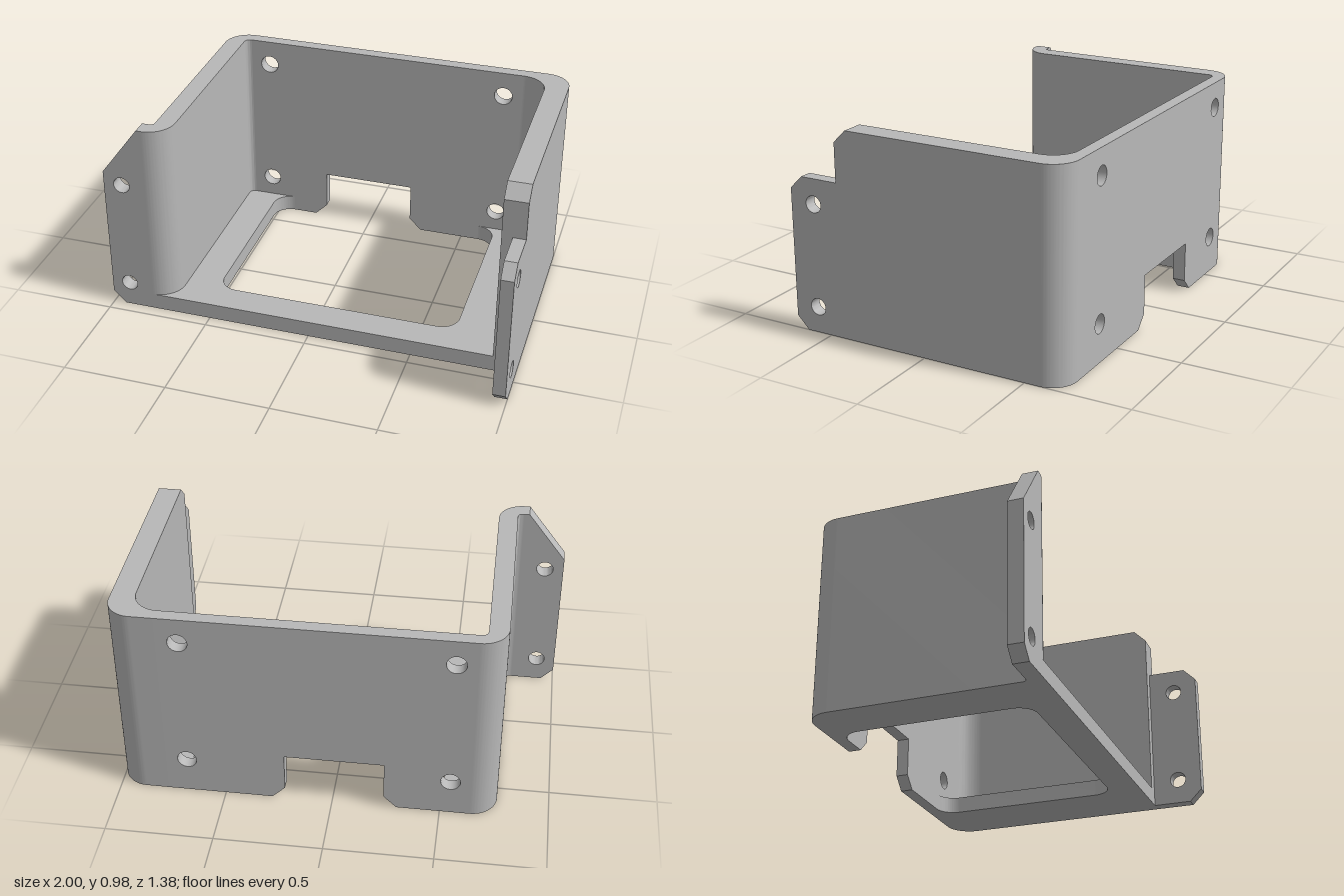
import * as THREE from 'three';
import { toCreasedNormals } from 'three/addons/utils/BufferGeometryUtils.js';

const P = Math.PI;
const H = 0.98; // wall height

export function createModel() {
  const model = new THREE.Group();
  model.name = 'mountingBracket';
  const metal = new THREE.MeshStandardMaterial({ color: 0xb8b8b8 });
  metal.name = 'grey metal';

  const extrude = (shape, depth) =>
    new THREE.ExtrudeGeometry(shape, { depth, bevelEnabled: false, curveSegments: 16 });

  const add = (name, geometry) => {
    const mesh = new THREE.Mesh(toCreasedNormals(geometry, 0.5), metal);
    mesh.name = name;
    model.add(mesh);
  };

  // Polygon with round holes given as [x, y, radius]
  const plate = (points, holes = []) => {
    const shape = new THREE.Shape(points.map(([x, y]) => new THREE.Vector2(x, y)));
    for (const [x, y, r] of holes) {
      shape.holes.push(new THREE.Path().absarc(x, y, r, 0, 2 * P, true));
    }
    return shape;
  };

  // Panel facing z, drawn in (x, y)
  const frontPanel = (name, shape, depth, z) => add(name, extrude(shape, depth).translate(0, 0, z));
  // Panel facing x, drawn in (-z, y)
  const sidePanel = (name, shape, depth, x) =>
    add(name, extrude(shape, depth).rotateY(P / 2).translate(x, 0, 0));
  // Upright part drawn in plan (x, -z)
  const upright = (name, shape, height) => add(name, extrude(shape, height).rotateX(-P / 2));

  // Back wall with screw holes and a bottom notch with chamfered mouth
  const backHoles = [];
  for (const x of [-0.545, 0.675]) for (const y of [0.185, 0.855]) backHoles.push([x, y, 0.045]);
  frontPanel('backWall', plate([
    [-0.64, 0], [-0.3, 0], [-0.24, 0.06], [-0.24, 0.25], [0.22, 0.25],
    [0.22, 0.06], [0.28, 0], [0.77, 0], [0.77, H], [-0.64, H],
  ], backHoles), 0.06, -0.69);

  // Side wall at -x with its back corner and outward front bend
  const bent = new THREE.Shape();
  bent.moveTo(-0.64, 0.69);
  bent.absarc(-0.64, 0.57, 0.12, P / 2, P, false);
  bent.absarc(-0.78, -0.345, 0.02, 0, -P / 2, true);
  bent.lineTo(-0.79, -0.365);
  bent.lineTo(-0.79, -0.44);
  bent.absarc(-0.79, -0.32, 0.12, -P / 2, 0, false);
  bent.absarc(-0.64, 0.6, 0.03, P, P / 2, true);
  upright('rightWall', bent, H);

  // Flange facing the front
  frontPanel('rightFlange', plate([
    [-0.94, 0], [-0.79, 0], [-0.79, H], [-0.815, H], [-1, 0.735], [-1, 0.06],
  ], [[-0.91, 0.125, 0.04], [-0.91, 0.675, 0.04]]), 0.075, 0.365);

  // Rounded back corner at +x
  const corner = new THREE.Shape();
  corner.moveTo(0.77, 0.63);
  corner.absarc(0.77, 0.51, 0.12, P / 2, 0, true);
  corner.lineTo(1, 0.51);
  corner.absarc(0.88, 0.57, 0.12, 0, P / 2, false);
  corner.lineTo(0.77, 0.69);
  upright('leftBackCorner', corner, H);

  // Side wall at +x, chamfered at its top front, and the thinner flange ahead of it
  sidePanel('leftWall', plate([
    [0.51, 0], [0.51, H], [-0.38, H], [-0.44, 0.92], [-0.44, 0],
  ]), 0.11, 0.89);
  sidePanel('leftFlange', plate([
    [-0.44, 0], [-0.44, 0.735], [-0.627, 0.735], [-0.687, 0.675], [-0.687, 0.06], [-0.627, 0],
  ], [[-0.567, 0.125, 0.04], [-0.567, 0.615, 0.04]]), 0.06, 0.94);

  // Floor fitted between the walls, with a large rounded opening reaching the back wall
  const floor = new THREE.Shape();
  floor.moveTo(-0.42, 0.63);
  floor.absarc(-0.64, 0.6, 0.03, P / 2, P, false);
  floor.absarc(-0.79, -0.32, 0.12, 0, -P / 2, true);
  floor.lineTo(0.89, -0.44);
  floor.absarc(0.77, 0.51, 0.12, 0, P / 2, false);
  floor.absarc(0.59, 0.54, 0.09, P / 2, 0, true);
  floor.absarc(0.59, -0.2, 0.09, 0, -P / 2, true);
  floor.absarc(-0.42, -0.2, 0.09, -P / 2, -P, true);
  floor.absarc(-0.42, 0.54, 0.09, P, P / 2, true);
  upright('floor', floor, 0.08);

  return model;
}
